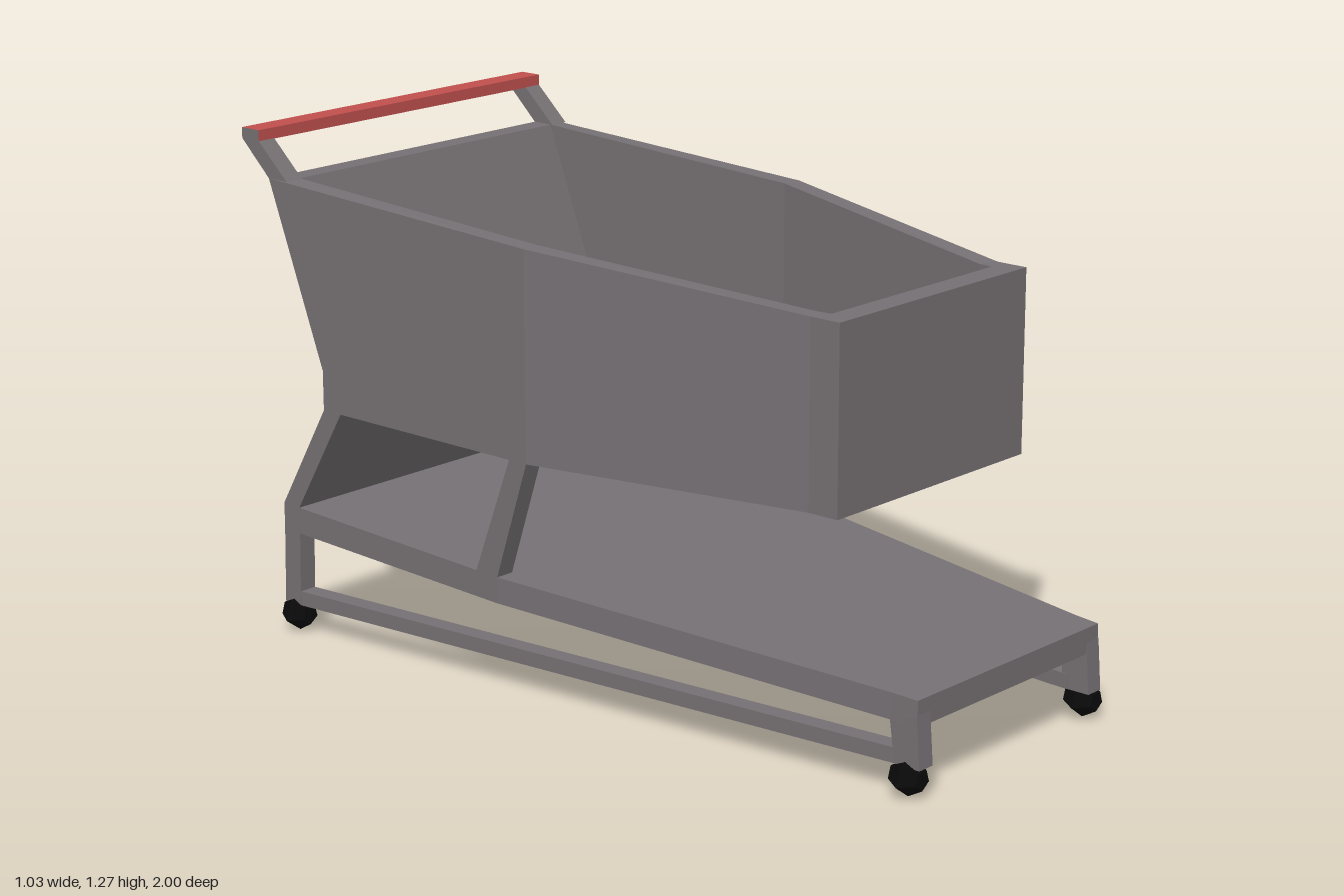
import * as THREE from 'three';

const frameGrey = new THREE.MeshStandardMaterial({ color: 0x757073 });
const handleRed = new THREE.MeshStandardMaterial({ color: 0xc0504d });
const wheelBlack = new THREE.MeshStandardMaterial({ color: 0x0a0a0a });

// Mirror half a ring of [x, y, z] points across x = 0
const mirrorRing = (half) => [...half, ...half.slice().reverse().map(([x, y, z]) => [-x, y, z])];

// Flat-shaded solid through mirrored rings, capped at both ends
function loft(halfRings) {
  const rings = halfRings.map(mirrorRing);
  const n = rings[0].length;
  const pos = [];
  const quad = (a, b, c, d) => [a, b, c, a, c, d].forEach((p) => pos.push(...p));
  const first = rings[0], last = rings[rings.length - 1];
  for (let r = 0; r < rings.length - 1; r++) {
    for (let i = 0; i < n; i++) {
      const j = (i + 1) % n;
      quad(rings[r][i], rings[r + 1][i], rings[r + 1][j], rings[r][j]);
    }
  }
  for (let i = 0; i < n / 2 - 1; i++) {
    quad(first[i], first[i + 1], first[n - 2 - i], first[n - 1 - i]);
    quad(last[n - 1 - i], last[n - 2 - i], last[i + 1], last[i]);
  }
  const geo = new THREE.BufferGeometry();
  geo.setAttribute('position', new THREE.Float32BufferAttribute(pos, 3));
  geo.computeVertexNormals();
  return geo;
}

// Side profile of [z, y] points extruded across x from x0 to x1
function sidePlate(profile, x0, x1) {
  const shape = new THREE.Shape(profile.map(([z, y]) => new THREE.Vector2(z, y)));
  const geo = new THREE.ExtrudeGeometry(shape, { depth: x1 - x0, bevelEnabled: false });
  return geo.rotateY(-Math.PI / 2).translate(x1, 0, 0);
}

// Five-sided wheel, widest in the middle, standing on a point
function wheelGeometry() {
  const profile = [[0, -0.039], [0.025, -0.039], [0.047, 0], [0.025, 0.039], [0, 0.039]];
  const geo = new THREE.LatheGeometry(profile.map(([r, y]) => new THREE.Vector2(r, y)), 5).toNonIndexed();
  geo.computeVertexNormals();
  return geo.rotateX(Math.PI / 2);
}

export function createModel() {
  const group = new THREE.Group();
  const add = (name, geo, mat = frameGrey) => {
    const mesh = new THREE.Mesh(geo, mat);
    mesh.name = name;
    group.add(mesh);
    return mesh;
  };

  // Open basket: outside going up, over the rim, inside down to the floor
  const outer = (back, ys) => [[0.49, ys[0], back], [0.49, ys[1], -0.05], [0.34, ys[2], 0.675], [0.34, ys[3], 0.757]];
  const inner = (back, ys) => [[0.44, ys[0], back], [0.44, ys[1], -0.055], [0.295, ys[2], 0.655], [0.29, ys[3], 0.694]];
  const level = (y) => [y, y, y, y];
  const rim = [1.153, 1.112, 1.049, 1.049];
  add('basket', loft([
    outer(-0.735, level(0.6)), outer(-0.735, level(0.7)), outer(-0.908, rim),
    inner(-0.852, rim), inner(-0.68, level(0.7)),
  ]));

  // Sloping lower tray
  const tray = (ys) => [[0.49, ys[0], -0.89], [0.49, ys[1], -0.15], [0.345, ys[2], 0.92], [0.34, ys[3], 0.99]];
  add('lowerTray', loft([tray([0.265, 0.237, 0.175, 0.171]), tray([0.332, 0.302, 0.239, 0.235])]));

  // Full-width panel joining basket and tray at the back
  add('backPanel', sidePlate([[-0.735, 0.6], [-0.676, 0.6], [-0.835, 0.33], [-0.89, 0.332]], -0.49, 0.49));

  // Push handle, with ends in the frame colour
  const bar = new THREE.BoxGeometry(0.98, 0.028, 0.06).translate(0, 1.253, -0.97);
  add('handleBar', bar, [frameGrey, frameGrey, handleRed, handleRed, handleRed, handleRed]);

  // Parts repeated on both sides
  for (const [side, s] of [['left', 1], ['right', -1]]) {
    const sidePart = (name, profile, xIn, xOut) =>
      add(side + name, sidePlate(profile, Math.min(s * xIn, s * xOut), Math.max(s * xIn, s * xOut)));

    sidePart('HandleArm', [[-0.845, 1.153], [-0.908, 1.153], [-1, 1.24], [-0.94, 1.24]], 0.44, 0.49);
    sidePart('Strut', [[-0.05, 0.6], [-0.105, 0.6], [-0.22, 0.3], [-0.15, 0.3]], 0.44, 0.49);
    sidePart('RearLeg', [[-0.835, 0.27], [-0.89, 0.27], [-0.895, 0.073], [-0.84, 0.073]], 0.442, 0.49);
    sidePart('FrontLeg', [[0.99, 0.2], [0.915, 0.177], [0.93, 0.073], [1, 0.073]], 0.295, 0.343);

    // Low rail, sheared outward toward the back
    const rail = sidePart('LowerRail', [[0.94, 0.073], [0.94, 0.11], [-0.85, 0.11], [-0.85, 0.073]], 0.293, 0.34);
    const p = rail.geometry.attributes.position;
    for (let i = 0; i < p.count; i++) p.setX(i, p.getX(i) + s * 0.15 * (0.94 - p.getZ(i)) / 1.79);
    rail.geometry.computeVertexNormals();

    // Wheels
    for (const [name, x, z] of [['FrontWheel', 0.33, 0.96], ['RearWheel', 0.472, -0.865]]) {
      add(side + name, wheelGeometry().translate(s * x, 0.047, z), wheelBlack);
    }
  }
  return group;
}
